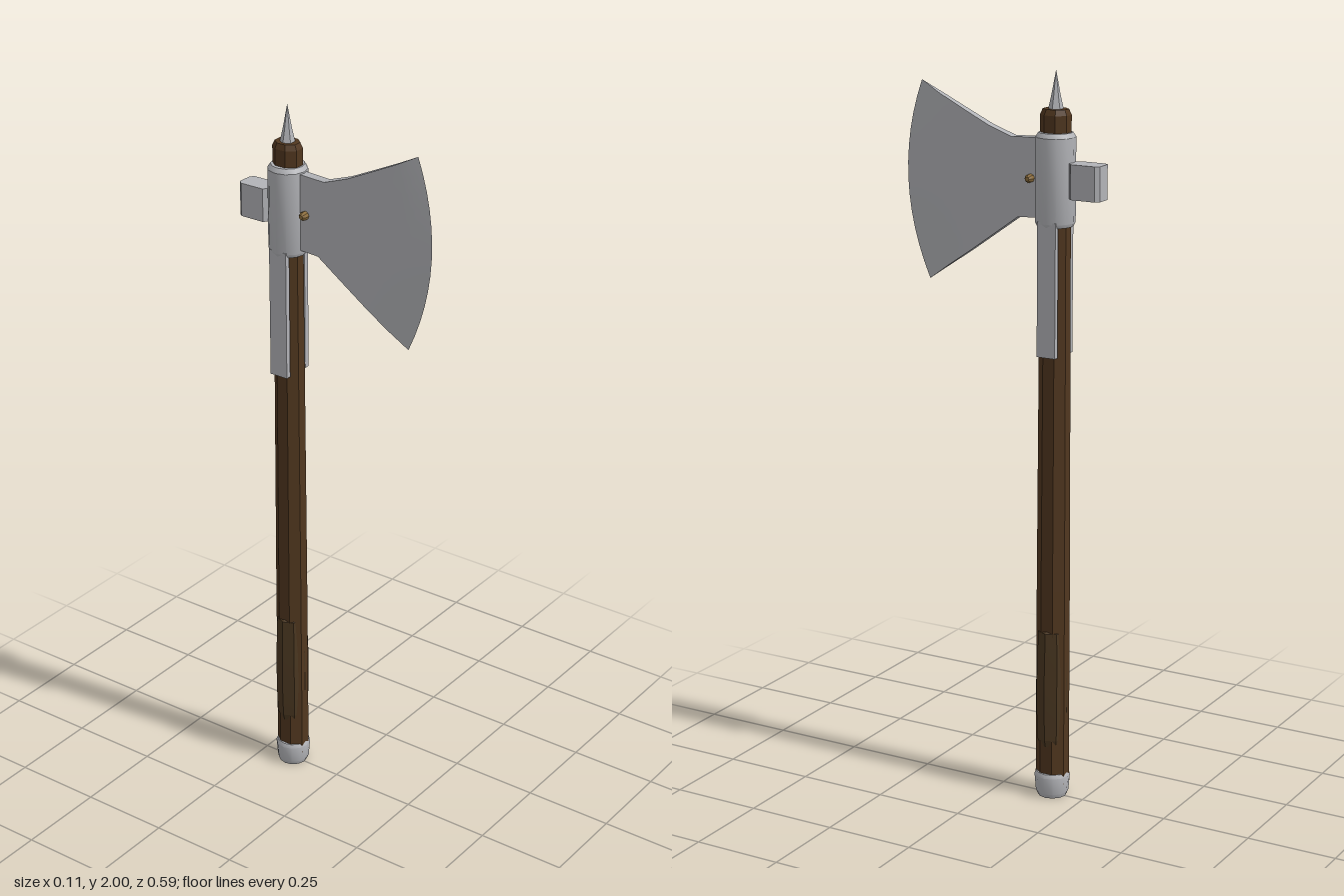
import * as THREE from 'three';
import { toCreasedNormals } from 'three/addons/utils/BufferGeometryUtils.js';

const steel = new THREE.MeshStandardMaterial({ color: 0xb2b3b7 });
const wood = new THREE.MeshStandardMaterial({ color: 0x51371f });
const leather = new THREE.MeshStandardMaterial({ color: 0x4a3721 });
const brass = new THREE.MeshStandardMaterial({ color: 0x8c6d3c });
steel.name = 'steel';
wood.name = 'dark wood';
leather.name = 'grip brown';
brass.name = 'brass';

const HAFT_Z = -0.155;

// Blade columns from root to edge:
// [top z, top y, bottom z, bottom y, half thickness, forward bulge]
const BLADE = [
  [-0.13, 1.825, -0.13, 1.615, 0.014, 0],
  [-0.03, 1.82, -0.05, 1.61, 0.0135, 0],
  [0.04, 1.845, 0.02, 1.56, 0.0125, 0.01],
  [0.12, 1.883, 0.1, 1.503, 0.011, 0.025],
  [0.19, 1.917, 0.165, 1.459, 0.009, 0.04],
  [0.249, 1.948, 0.228, 1.415, 0, 0.056],
];

// Loft rings of the blade from the socket to the cutting edge
function bladeGeometry() {
  const n = 12, ring = 2 * (n + 1), pos = [], idx = [];
  for (const [zt, yt, zb, yb, half, bulge] of BLADE) {
    for (let i = 0; i < ring; i++) {
      const right = i <= n;
      const t = (right ? i : ring - 1 - i) / n;
      pos.push(right ? half : -half, yt + (yb - yt) * t, zt + (zb - zt) * t + bulge * 4 * t * (1 - t));
    }
  }
  for (let k = 0; k < BLADE.length - 1; k++) {
    for (let i = 0; i < ring; i++) {
      const j = (i + 1) % ring;
      const a = k * ring + i, b = k * ring + j, c = b + ring, d = a + ring;
      idx.push(a, d, c, a, c, b);
    }
  }
  const g = new THREE.BufferGeometry();
  g.setAttribute('position', new THREE.Float32BufferAttribute(pos, 3));
  g.setIndex(idx);
  return toCreasedNormals(g, 0.5);
}

// Faceted turned part from [radius, height] pairs, listed bottom to top
function turned(profile, sides, turn = 0, crease = 0.1) {
  const g = new THREE.LatheGeometry(profile.map(([r, y]) => new THREE.Vector2(r, y)), sides);
  g.rotateY(turn);
  return toCreasedNormals(g, crease);
}

export function createModel() {
  const group = new THREE.Group();
  const add = (name, geometry, material, x = 0, y = 0, z = HAFT_Z) => {
    const mesh = new THREE.Mesh(geometry, material);
    mesh.name = name;
    mesh.position.set(x, y, z);
    group.add(mesh);
    return mesh;
  };

  // Wooden haft, slightly oval and thicker toward the bottom
  const haft = turned([[0, 0.04], [0.046, 0.04], [0.045, 0.6], [0.041, 1.5], [0.041, 1.885], [0.034, 1.9], [0, 1.9]], 8, Math.PI / 8);
  add('haft', haft.scale(0.87, 1, 1.03), wood);

  // Swelling grip
  const grip = turned([[0.04, 0.15], [0.045, 0.17], [0.048, 0.25], [0.048, 0.36], [0.044, 0.48], [0.036, 0.485]], 8);
  add('grip', grip.scale(1, 1, 0.92), leather);

  // Butt cap
  add('buttCap', turned([[0, 0], [0.04, 0], [0.045, 0.012], [0.049, 0.06], [0.044, 0.07], [0, 0.07]], 12, 0, 0.55), steel);

  // Socket and top spike
  add('socket', turned([[0.03, 1.595], [0.048, 1.595], [0.053, 1.605], [0.053, 1.828], [0.045, 1.84], [0.03, 1.84]], 12, 0, 0.55), steel);
  add('topSpike', turned([[0.021, 1.895], [0.012, 1.935], [0, 2]], 6, Math.PI / 6), steel);

  // Side straps running down the haft
  for (const s of [-1, 1]) {
    add(s > 0 ? 'leftStrap' : 'rightStrap', new THREE.BoxGeometry(0.015, 0.36, 0.054), steel, s * 0.041, 1.43);
  }

  // Axe blade
  add('blade', bladeGeometry(), steel, 0, 0, 0);

  // Hammer poll with chamfered corners
  const outline = [[0.016, -0.19], [0.016, -0.205], [0.03, -0.215], [0.03, -0.285], [0.021, -0.296],
    [-0.021, -0.296], [-0.03, -0.285], [-0.03, -0.215], [-0.016, -0.205], [-0.016, -0.19]];
  const poll = new THREE.ExtrudeGeometry(new THREE.Shape(outline.map(([x, z]) => new THREE.Vector2(x, z))),
    { depth: 0.092, bevelEnabled: false });
  add('hammerPoll', poll.rotateX(Math.PI / 2), steel, 0, 1.764, 0);

  // Brass pin through the blade
  const pin = turned([[0, -0.034], [0.006, -0.034], [0.0115, -0.026], [0.0115, 0.026], [0.006, 0.034], [0, 0.034]], 8);
  add('pin', pin.rotateZ(Math.PI / 2), brass, 0, 1.716, -0.089);

  return group;
}
